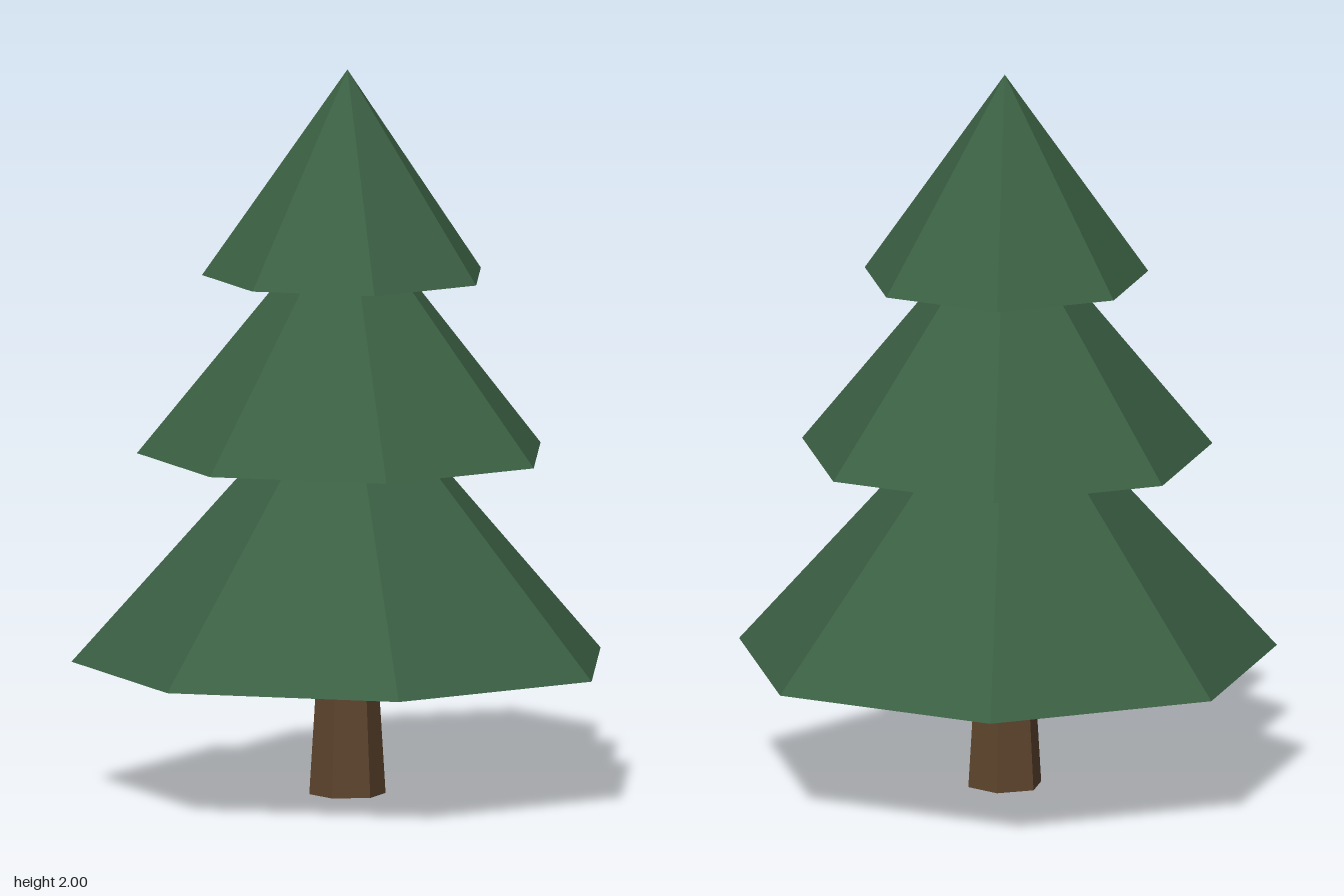
import * as THREE from 'three';

export function createModel() {
  const tree = new THREE.Group();
  tree.name = 'pineTree';

  const needles = new THREE.MeshStandardMaterial({ color: 0x3b6043 });
  needles.name = 'needleGreen';
  const bark = new THREE.MeshStandardMaterial({ color: 0x5e452e });
  bark.name = 'barkBrown';

  const axisZ = 0.037; // the seven-sided outline sits slightly off its own axis

  // Faceted solid of revolution standing on height y
  function addPart(name, material, sides, rTop, rBottom, y, height, turn) {
    const cylinder = new THREE.CylinderGeometry(rTop, rBottom, height, sides, 1);
    const geometry = cylinder.toNonIndexed();
    geometry.computeVertexNormals(); // flat facets
    const mesh = new THREE.Mesh(geometry, material);
    mesh.name = name;
    mesh.position.set(0, y + height / 2, axisZ);
    mesh.rotation.y = turn;
    tree.add(mesh);
  }

  // Tapered six-sided trunk, running up into the lowest branches
  addPart('trunk', bark, 6, 0.079, 0.105, 0, 0.42, 0);

  // Three overlapping seven-sided branch tiers, one corner to the back
  const tiers = [
    ['lowerBranches', 0.755, 0.36, 0.85],
    ['middleBranches', 0.576, 0.937, 0.71],
    ['upperBranches', 0.398, 1.43, 0.57],
  ];
  for (const [name, radius, y, height] of tiers) {
    addPart(name, needles, 7, 0, radius, y, height, Math.PI);
  }

  return tree;
}
